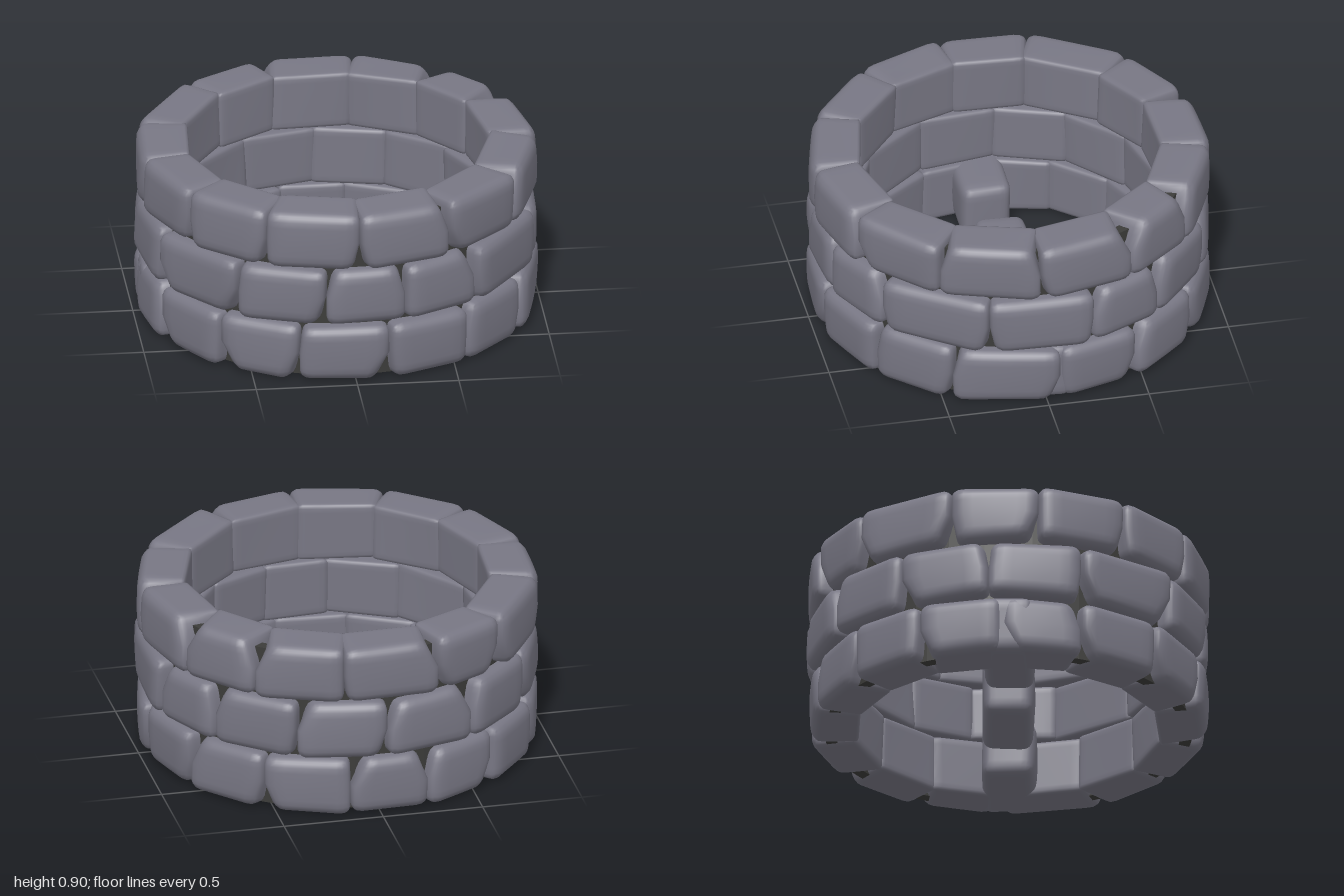
import * as THREE from 'three';
import { mergeVertices } from 'three/addons/utils/BufferGeometryUtils.js';

const stoneMat = new THREE.MeshStandardMaterial({ color: 0x787784 });
stoneMat.name = 'grey stone';
const mortarMat = new THREE.MeshStandardMaterial({ color: 0x3c3c3a });
mortarMat.name = 'dark mortar';

let seed = 11;
function rand() { // -1..1
  seed = (seed * 16807) % 2147483647;
  return (seed / 2147483647) * 2 - 1;
}

// Rounded, slightly bulging and irregular block; place() maps -1..1 coordinates to space
function stoneGeometry(size, backRadius, frontRadius, wobble, place) {
  let geo = new THREE.BoxGeometry(2, 2, 2, 8, 8, 8);
  geo.deleteAttribute('normal');
  geo.deleteAttribute('uv');
  geo = mergeVertices(geo);
  const half = size.clone().multiplyScalar(0.5);
  const corners = Array.from({ length: 8 }, () => new THREE.Vector3(rand(), rand(), rand()).multiply(wobble));
  const pos = geo.attributes.position;
  const p = new THREE.Vector3(), c = new THREE.Vector3(), shift = new THREE.Vector3();
  const core = new THREE.Vector3(), coreMin = new THREE.Vector3();
  const dense = (u) => Math.sign(u) * Math.sqrt(Math.abs(u)); // crowd the grid near the edges
  for (let i = 0; i < pos.count; i++) {
    p.fromBufferAttribute(pos, i);
    const radius = THREE.MathUtils.lerp(backRadius, frontRadius, (p.z + 1) / 2);
    core.copy(half).subScalar(radius);
    coreMin.copy(core).negate();
    p.set(dense(p.x), dense(p.y), dense(p.z)).multiply(half);
    c.copy(p).clamp(coreMin, core);
    if (p.distanceTo(c) > 1e-6) p.sub(c).setLength(radius).add(c);
    p.divide(half);
    // uneven corners
    shift.set(0, 0, 0);
    corners.forEach((k, n) => {
      const sx = n & 1 ? 1 : -1, sy = n & 2 ? 1 : -1, sz = n & 4 ? 1 : -1;
      shift.addScaledVector(k, (1 + sx * p.x) * (1 + sy * p.y) * (1 + sz * p.z) / 8);
    });
    p.add(shift);
    // soft bulge of the outer face
    if (p.z > 0) p.z += 0.09 * p.z * (1 - p.x * p.x) * (1 - p.y * p.y);
    const q = place(p);
    pos.setXYZ(i, q.x, q.y, q.z);
  }
  geo.computeVertexNormals();
  return geo;
}

// Angles, in degrees from the front, at which the stones of each course begin
const courses = [
  { name: 'bottomCourse', bottom: 0.005,
    starts: [-68, -42, -17, 10, 36, 62, 94, 119, 145, 171, 195, 219, 243, 268] },
  { name: 'middleCourse', bottom: 0.305,
    starts: [-68, -36, -9, 15, 39, 73, 104, 128, 155, 182, 210, 237, 264] },
  { name: 'topCourse', bottom: 0.605,
    starts: [-27, 1, 29, 58, 88, 117, 142, 169, 198, 222, 253, 279, 306] },
];

function buildCourse({ name, bottom, starts }) {
  const group = new THREE.Group();
  group.name = name;
  const inner = 0.728, outer = 0.97, height = 0.29;
  const wobble = new THREE.Vector3(0.02, 0.05, 0.08);
  starts.forEach((start, i) => {
    const end = i + 1 < starts.length ? starts[i + 1] : starts[0] + 360;
    const halfAngle = THREE.MathUtils.degToRad((end - start) / 2 - 0.3);
    const slants = [rand() * 0.1, rand() * 0.1]; // each end leans in at its top or its foot
    const size = new THREE.Vector3(halfAngle * 1.72, height, outer - inner);
    const geo = stoneGeometry(size, 0.018, 0.055, wobble, (p) => {
      const depth = (p.z + 1) / 2;
      const slant = slants[p.x < 0 ? 0 : 1];
      const inset = Math.max(0, slant * p.y) * depth;
      const overlap = 0.022 * (1 - depth); // inner ends close up the joints
      const r = THREE.MathUtils.lerp(inner, outer, depth);
      return {
        x: r * Math.tan(p.x * (halfAngle + overlap - inset)),
        y: Math.max(0, bottom + height * (p.y + 1) / 2),
        z: r,
      };
    });
    const mesh = new THREE.Mesh(geo, stoneMat);
    mesh.name = 'wallStone';
    mesh.rotation.y = THREE.MathUtils.degToRad((start + end) / 2);
    group.add(mesh);
  });
  return group;
}

export function createModel() {
  seed = 11;
  const model = new THREE.Group();
  model.name = 'stoneWell';

  // Mortar ring, hidden except in the outer joints
  const ring = new THREE.Shape().absarc(0, 0, 0.905, 0, Math.PI * 2, false);
  ring.holes.push(new THREE.Path().absarc(0, 0, 0.85, 0, Math.PI * 2, true));
  const ringGeo = new THREE.ExtrudeGeometry(ring, { depth: 0.83, bevelEnabled: false, curveSegments: 48 });
  ringGeo.rotateX(-Math.PI / 2).translate(0, 0.015, 0);
  const mortar = new THREE.Mesh(ringGeo, mortarMat);
  mortar.name = 'mortarRing';
  model.add(mortar);

  courses.forEach((course) => model.add(buildCourse(course)));

  // Loose stones in a line across the floor
  const size = new THREE.Vector3(0.48, 0.295, 0.25);
  const wobble = new THREE.Vector3(0.06, 0.04, 0.1);
  [-0.725, -0.01, 0.71].forEach((x) => {
    const geo = stoneGeometry(size, 0.052, 0.052, wobble, (p) => ({
      x: p.x * size.x / 2, y: Math.max(0, 0.15 + p.y * size.y / 2), z: p.z * size.z / 2,
    }));
    const mesh = new THREE.Mesh(geo, stoneMat);
    mesh.name = 'looseStone';
    mesh.position.x = x;
    model.add(mesh);
  });
  return model;
}
